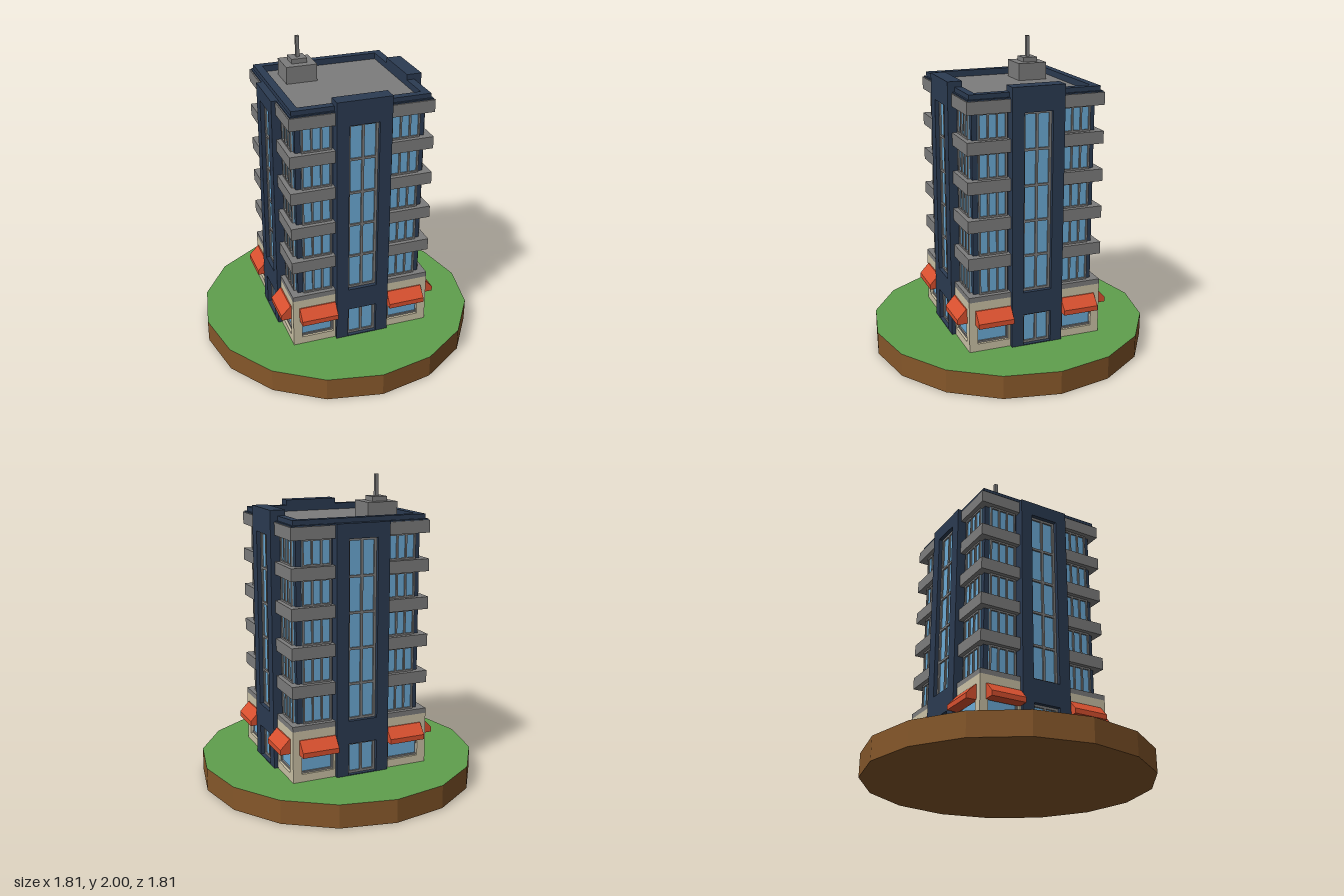
import * as THREE from 'three';

const paint = (name, color) => {
  const m = new THREE.MeshStandardMaterial({ color });
  m.name = name;
  return m;
};

export function createModel() {
  const navy = paint('navy wall', 0x2b3b52);
  const grey = paint('grey concrete', 0x7d7d7d);
  const glass = paint('blue glass', 0x6cabd6);
  const red = paint('red awning', 0xd9502f);
  const cream = paint('cream shopfront', 0xcbc2a6);
  const grass = paint('green grass', 0x5f9f4d);
  const soil = paint('brown soil', 0x85572a);

  const add = (parent, name, geometry, material) => {
    const mesh = new THREE.Mesh(geometry, material);
    mesh.name = name;
    parent.add(mesh);
    return mesh;
  };
  // Box given by its limits along x, y and z
  const box = (parent, name, mat, x0, x1, y0, y1, z0, z1) => {
    const g = new THREE.BoxGeometry(Math.abs(x1 - x0), y1 - y0, z1 - z0);
    g.translate((x0 + x1) / 2, (y0 + y1) / 2, (z0 + z1) / 2);
    return add(parent, name, g, mat);
  };
  const rect = (T, x0, x1, y0, y1) => {
    const a = Math.min(x0, x1), b = Math.max(x0, x1);
    return new T([[a, y0], [b, y0], [b, y1], [a, y1]].map((p) => new THREE.Vector2(...p)));
  };
  // Wall slab with rectangular openings
  const slab = (parent, name, mat, outer, holes, z0, z1) => {
    const shape = rect(THREE.Shape, ...outer);
    shape.holes = holes.map((h) => rect(THREE.Path, ...h));
    const g = new THREE.ExtrudeGeometry(shape, { depth: z1 - z0, bevelEnabled: false });
    g.translate(0, 0, z0);
    return add(parent, name, g, mat);
  };
  // Glass sheet behind a grey frame with evenly spaced bars
  const glazing = (parent, name, x0, x1, y0, y1, z, cols, rows, bar = 0.012) => {
    const group = new THREE.Group();
    group.name = name;
    parent.add(group);
    box(group, 'glass', glass, x0, x1, y0, y1, z - 0.008, z);
    const a = Math.min(x0, x1), b = Math.max(x0, x1);
    const w = (b - a - bar) / cols, h = (y1 - y0 - bar) / rows;
    const holes = [];
    for (let c = 0; c < cols; c++) {
      for (let r = 0; r < rows; r++) {
        holes.push([a + c * w + bar, a + (c + 1) * w, y0 + r * h + bar, y0 + (r + 1) * h]);
      }
    }
    slab(group, 'windowFrame', grey, [a, b, y0, y1], holes, z, z + 0.01);
  };

  const model = new THREE.Group();
  model.name = 'apartmentBuilding';

  // Round island
  const island = new THREE.CylinderGeometry(0.905, 0.905, 0.15, 16).toNonIndexed();
  island.computeVertexNormals();
  island.translate(0, 0.075, 0);
  add(model, 'island', island, [soil, grass, soil]);

  const building = new THREE.Group();
  building.name = 'building';
  building.position.set(0.025, 0, -0.005);
  building.scale.x = 1.04;
  model.add(building);

  // Core and roof deck
  box(building, 'core', navy, -0.395, 0.395, 0.15, 1.715, -0.395, 0.395);
  box(building, 'roofDeck', grey, -0.38, 0.38, 1.715, 1.725, -0.38, 0.38);

  const sides = ['front', 'left', 'back', 'right'];
  sides.forEach((label, i) => {
    const side = new THREE.Group();
    side.name = label + 'Side';
    side.rotation.y = (i * Math.PI) / 2;
    building.add(side);

    // Parapet with a lower outer step
    box(side, 'parapet', navy, -0.42, 0.42, 1.7, 1.765, 0.372, 0.42);
    box(side, 'parapetStep', navy, -0.432, 0.432, 1.7, 1.736, 0.395, 0.432);

    // Central tower with stair glazing and entrance
    const top = i < 2 ? 1.8 : 1.737;
    slab(side, 'tower', navy, [-0.168, 0.168, 0.15, top],
      [[-0.092, 0.092, 0.51, 1.645], [-0.092, 0.092, 0.155, 0.36]], 0.372, 0.465);
    glazing(side, 'towerWindow', -0.092, 0.092, 0.51, 1.645, 0.43, 2, 5, 0.015);
    glazing(side, 'entranceDoor', -0.092, 0.092, 0.155, 0.36, 0.43, 2, 1, 0.015);

    for (const s of [1, -1]) {
      // Balcony bands with windows in the gaps
      for (let f = 0; f < 5; f++) {
        const y = 0.69 + f * 0.24;
        box(side, 'balconyBand', grey, s * 0.16, s * 0.44, y, y + 0.078, 0.38, 0.44);
        const y0 = f ? y - 0.162 : 0.515;
        glazing(side, 'floorWindow', s * 0.18, s * 0.362, y0, y, 0.402, 3, 1, 0.011);
      }
      box(side, 'ledge', grey, s * 0.16, s * 0.44, 0.482, 0.515, 0.38, 0.44);

      // Shopfront
      slab(side, 'shopfront', cream, [s * 0.16, s * 0.44, 0.15, 0.482],
        [[s * 0.18, s * 0.395, 0.2, 0.36]], 0.385, 0.44);
      glazing(side, 'shopWindow', s * 0.18, s * 0.395, 0.2, 0.36, 0.415, 1, 1);

      // Sloped awning
      const profile = new THREE.Shape([[-0.43, 0.33], [-0.43, 0.425], [-0.447, 0.425],
        [-0.505, 0.362], [-0.505, 0.33]].map((p) => new THREE.Vector2(...p)));
      const awning = new THREE.ExtrudeGeometry(profile, { depth: 0.23, bevelEnabled: false });
      awning.rotateY(Math.PI / 2);
      awning.translate(s > 0 ? 0.17 : -0.4, 0, 0);
      add(side, 'awning', awning, red);
    }
  });

  // Rooftop plant room and mast
  box(model, 'plantRoom', grey, -0.28, -0.08, 1.72, 1.835, -0.3, -0.11);
  box(model, 'plantRoomCap', grey, -0.23, -0.13, 1.835, 1.865, -0.255, -0.16);
  box(model, 'mast', grey, -0.19, -0.168, 1.865, 2.0, -0.218, -0.196);

  return model;
}
